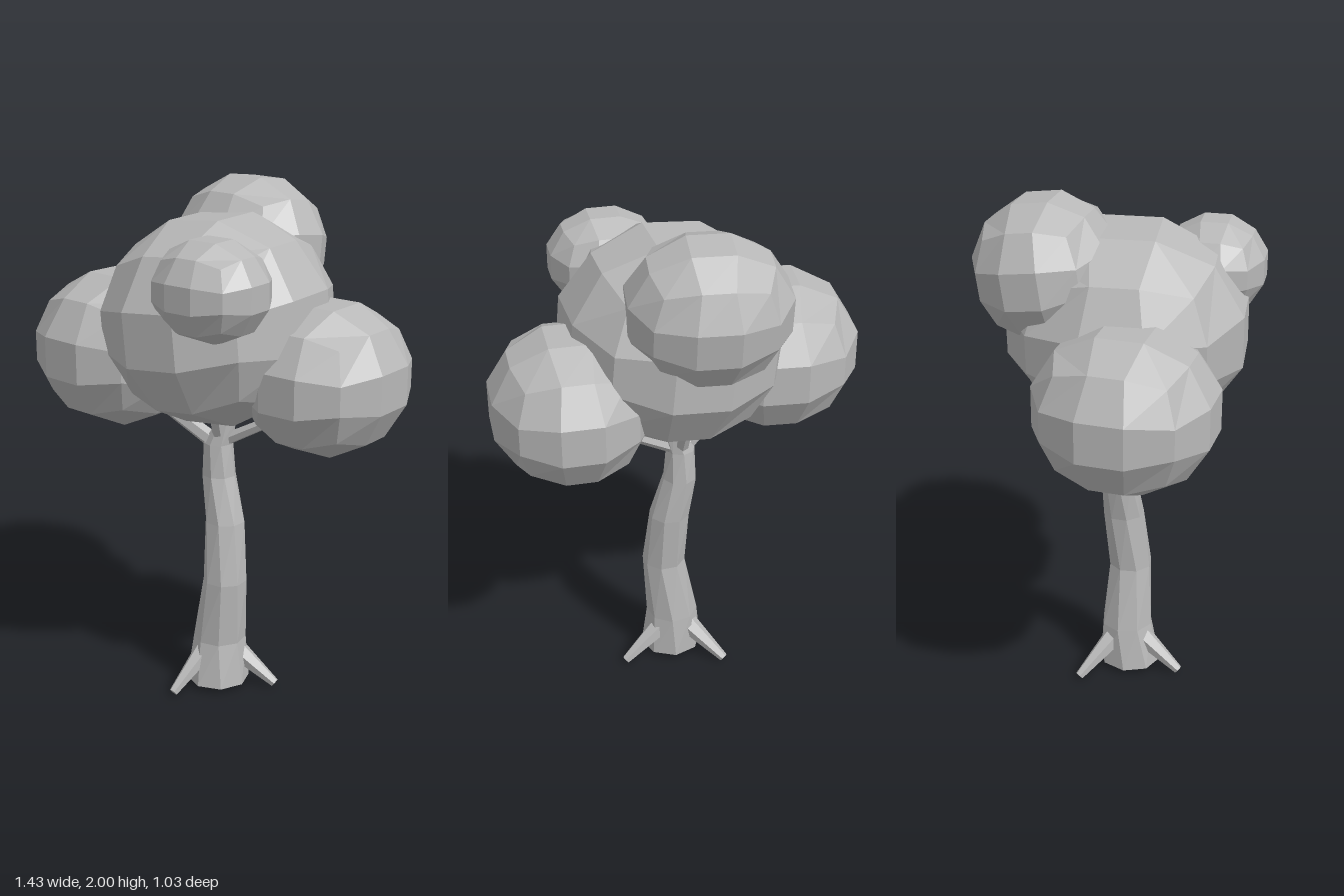
import * as THREE from 'three';

const grey = new THREE.MeshStandardMaterial({ color: 0xb8b8b8 });
grey.name = 'plain grey';

// Facet a geometry and wrap it in a named mesh
function facet(geometry, name) {
  const g = geometry.toNonIndexed();
  g.computeVertexNormals();
  const mesh = new THREE.Mesh(g, grey);
  mesh.name = name;
  return mesh;
}

// Leaf ball: a 3x3x3 cube bulged into an ellipsoid with the given half sizes, then tilted
function leafBall(name, centre, half, tilt) {
  const g = new THREE.BoxGeometry(2, 2, 2, 3, 3, 3);
  const p = g.attributes.position;
  const v = new THREE.Vector3();
  const bulge = (c) => Math.tan((c * Math.PI) / 4);
  for (let i = 0; i < p.count; i++) {
    v.fromBufferAttribute(p, i);
    v.set(bulge(v.x), bulge(v.y), bulge(v.z)).normalize().divideScalar(0.935);
    p.setXYZ(i, v.x, v.y, v.z);
  }
  g.scale(...half);
  g.applyQuaternion(new THREE.Quaternion().setFromEuler(new THREE.Euler(...tilt)));
  g.translate(...centre);
  return facet(g, name);
}

// Tapered limb between two points
function limb(name, from, to, r0, r1, sides) {
  const a = new THREE.Vector3(...from);
  const b = new THREE.Vector3(...to);
  const dir = b.clone().sub(a);
  const g = new THREE.CylinderGeometry(r1, r0, dir.length(), sides, 1);
  g.applyQuaternion(new THREE.Quaternion().setFromUnitVectors(new THREE.Vector3(0, 1, 0), dir.normalize()));
  const mid = a.add(b).multiplyScalar(0.5);
  g.translate(mid.x, mid.y, mid.z);
  return facet(g, name);
}

// Crooked, slightly twisted trunk; each ring is [x, y, z, radius]
function trunk() {
  const rings = [
    [0.02, 0.025, 0.05, 0.125],
    [0.018, 0.2, 0.036, 0.104],
    [0.05, 0.46, 0.042, 0.086],
    [0.03, 0.7, 0.018, 0.08],
    [-0.01, 0.88, 0.007, 0.068],
    [-0.012, 1.01, 0.008, 0.058],
    [0.02, 1.1, 0.0, 0.038],
    [0.03, 1.25, -0.01, 0.03],
  ];
  const n = rings.length - 1;
  const g = new THREE.CylinderGeometry(1, 1, 1, 8, n);
  const p = g.attributes.position;
  for (let i = 0; i < p.count; i++) {
    const k = Math.round((p.getY(i) + 0.5) * n);
    const [x, y, z, r] = rings[k];
    const twist = k * -0.14;
    const c = Math.cos(twist), s = Math.sin(twist);
    const px = p.getX(i), pz = p.getZ(i);
    p.setXYZ(i, x + r * (px * c + pz * s), y, z + r * (pz * c - px * s));
  }
  return facet(g, 'trunk');
}

export function createModel() {
  const tree = new THREE.Group();
  tree.name = 'tree';
  tree.add(trunk());

  // Roots
  const roots = [
    ['leftRoot', [0.06, 0.15, 0.0], [0.23, 0.018, -0.055]],
    ['rightRoot', [-0.03, 0.15, 0.0], [-0.175, 0.018, -0.118]],
    ['frontRoot', [-0.005, 0.16, 0.09], [-0.032, 0.018, 0.265]],
  ];
  for (const [name, from, to] of roots) tree.add(limb(name, from, to, 0.045, 0.018, 6));

  // Branches
  const branches = [
    ['leftBranch', [0.01, 1.02, 0], [0.3, 1.18, -0.06], 0.026],
    ['rightBranch', [-0.01, 1.0, 0.01], [-0.28, 1.2, 0.13], 0.034],
    ['backBranch', [-0.01, 1.0, -0.005], [-0.03, 1.3, -0.15], 0.028],
    ['frontBranch', [0.0, 1.02, 0.015], [0.05, 1.25, 0.12], 0.026],
  ];
  for (const [name, from, to, r] of branches) tree.add(limb(name, from, to, r, r * 0.75, 6));

  // Foliage
  const foliage = new THREE.Group();
  foliage.name = 'foliage';
  foliage.add(
    leafBall('middleFoliage', [0.018, 1.515, 0.035], [0.405, 0.38, 0.44], [0, 0.09, 0.09]),
    leafBall('rightFoliage', [-0.39, 1.36, 0.13], [0.32, 0.29, 0.325], [0, -0.05, 0]),
    leafBall('leftFoliage', [0.42, 1.33, -0.1], [0.29, 0.275, 0.32], [0, 0.03, 0]),
    leafBall('topFoliage', [-0.062, 1.74, -0.248], [0.29, 0.258, 0.258], [-0.14, -0.05, 0]),
    leafBall('frontFoliage', [0.22, 1.7, 0.32], [0.21, 0.178, 0.19], [0, 0.04, 0]),
  );
  tree.add(foliage);
  return tree;
}
